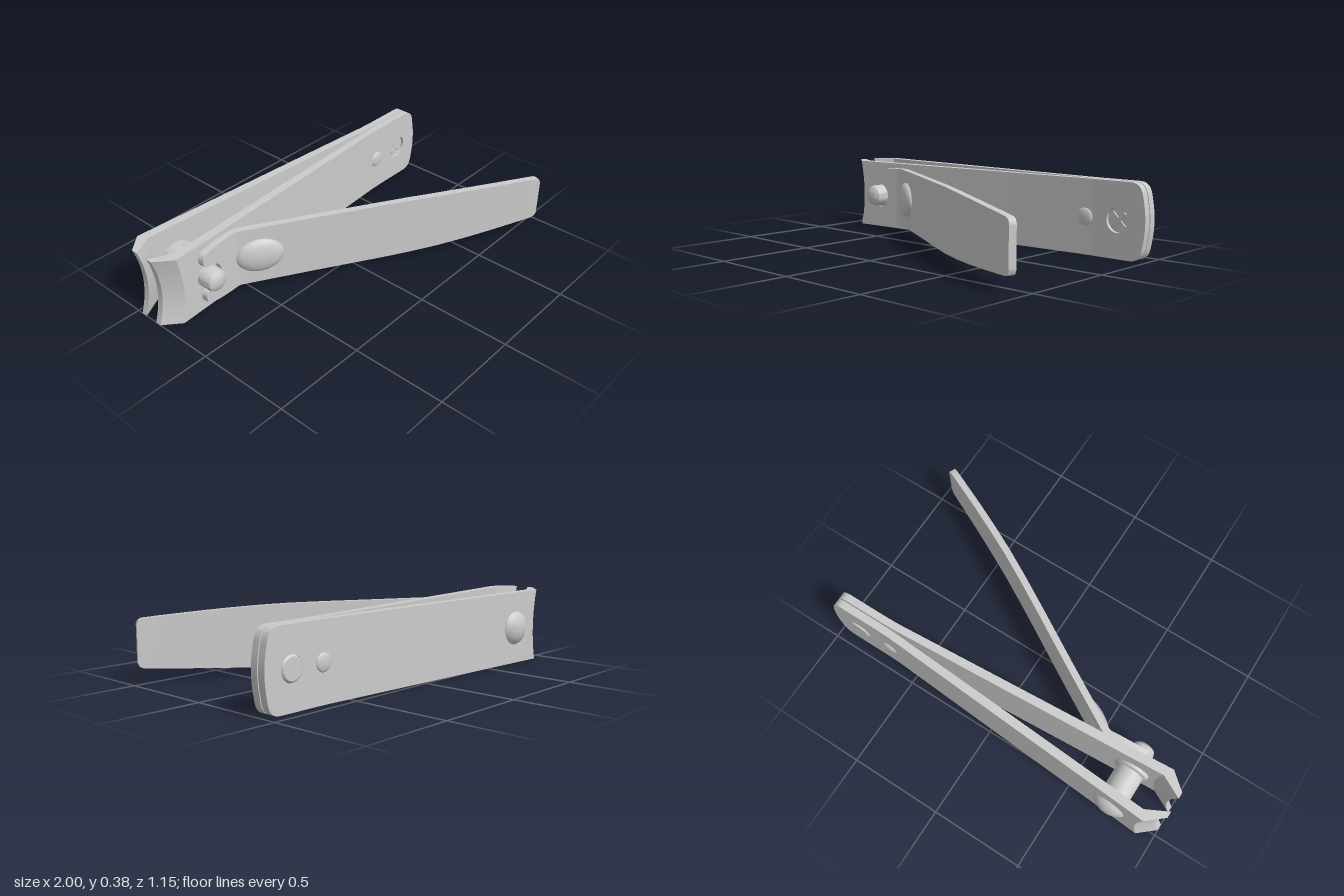
import * as THREE from 'three';
import { toCreasedNormals } from 'three/addons/utils/BufferGeometryUtils.js';

const material = new THREE.MeshStandardMaterial({ color: 0xcccccc });

function add(parent, name, geometry) {
  const mesh = new THREE.Mesh(geometry, material);
  mesh.name = name;
  parent.add(mesh);
  return mesh;
}

// Strip of metal lofted through stations { outer: [x, z], inner: [x, z], h, bow }.
// h is the half height, bow pushes the middle of the section along +x.
function strip(stations, n = 16) {
  const pos = [], index = [], ring = 2 * n + 2;
  for (const { outer, inner, h, bow = 0 } of stations) {
    for (let k = 0; k < ring; k++) {
      const front = k <= n;
      const v = ((front ? k : ring - 1 - k) / n) * 2 - 1;
      const [x, z] = front ? outer : inner;
      pos.push(x + bow * (1 - v * v), v * h, z);
    }
  }
  const quad = (a, b, c, d) => index.push(a, b, c, a, c, d);
  const last = (stations.length - 1) * ring;
  for (let i = 0; i < last; i += ring) {
    for (let k = 0; k < ring; k++) {
      const next = (k + 1) % ring;
      quad(i + k, i + ring + k, i + ring + next, i + next);
    }
  }
  for (let k = 0; k < n; k++) {
    const o = ring - 1 - k;
    quad(k, k + 1, o - 1, o);
    quad(last + o, last + o - 1, last + k + 1, last + k);
  }
  const g = new THREE.BufferGeometry();
  g.setAttribute('position', new THREE.Float32BufferAttribute(pos, 3));
  g.setIndex(index);
  return toCreasedNormals(g, 0.5);
}

// Turned part along z from [radius, z] points
function turned(points) {
  const g = new THREE.LatheGeometry(points.map(p => new THREE.Vector2(...p)), 40);
  return toCreasedNormals(g.rotateX(Math.PI / 2), 0.6);
}

function extrude(shape, depth) {
  const g = new THREE.ExtrudeGeometry(shape, { depth, bevelEnabled: false, curveSegments: 16 });
  return toCreasedNormals(g, 0.5);
}

const H = 0.1925;       // half height of the jaws
const RIVET_X = 0.845;

// One jaw: z = 0 is the plane where the two jaws meet
function jaw(name) {
  const g = new THREE.Group();
  g.name = name;
  add(g, 'jawBlade', strip([
    { outer: [-1, 0.07], inner: [-1, 0.036], h: H, bow: 0.036 },
    { outer: [-0.912, 0.145], inner: [-0.885, 0.095], h: H, bow: 0.024 },
    { outer: [-0.8, 0.137], inner: [-0.8, 0.09], h: H },
    { outer: [0.0, 0.085], inner: [0.0, 0.041], h: H },
    { outer: [0.62, 0.044], inner: [0.62, 0.005], h: H },
    { outer: [0.7, 0.042], inner: [0.7, 0.003], h: H },
  ]));

  // flat rounded tail with the rivet hole
  const s = new THREE.Shape();
  s.moveTo(0.7, -H);
  s.lineTo(0.91, -H);
  s.bezierCurveTo(0.965, -H, 0.98, -0.165, 0.988, -0.11);
  s.quadraticCurveTo(1.012, 0, 0.988, 0.11);
  s.bezierCurveTo(0.98, 0.165, 0.965, H, 0.91, H);
  s.lineTo(0.7, H);
  const hole = new THREE.Path();
  hole.absarc(RIVET_X, 0, 0.063, 0, Math.PI * 2, true);
  s.holes.push(hole);
  add(g, 'jawTail', extrude(s, 0.039)).position.z = 0.003;

  // small locating bump
  const bump = add(g, 'locatingBump', new THREE.SphereGeometry(0.045, 24, 16));
  bump.scale.z = 0.3;
  bump.position.set(0.655, 0, 0.042);
  return g;
}

function lever() {
  const g = new THREE.Group();
  g.name = 'lever';
  const T = 0.035;

  // arm: [x, z of the jaw side, half height]
  const path = [
    [-0.62, -0.276, 0.165], [-0.555, -0.28, 0.165], [-0.52, -0.268, 0.165],
    [-0.2, -0.081, 0.165], [0.1, 0.098, 0.165], [0.25, 0.186, 0.164],
    [0.4, 0.271, 0.159], [0.55, 0.35, 0.151], [0.7, 0.425, 0.141],
    [0.85, 0.497, 0.13], [0.92, 0.53, 0.124], [0.938, 0.538, 0.115], [0.946, 0.542, 0.098],
  ];
  add(g, 'leverArm', strip(path.map(([x, z, h], i) => {
    const a = path[Math.max(i - 1, 0)], b = path[Math.min(i + 1, path.length - 1)];
    const t = new THREE.Vector2(b[0] - a[0], b[1] - a[1]).normalize();
    return { outer: [x - t.y * T, z + t.x * T], inner: [x, z], h };
  })));

  // forked foot that hooks around the pin
  const s = new THREE.Shape();
  s.moveTo(0, -0.165);
  s.lineTo(0, 0.165);
  s.lineTo(-0.06, 0.162);
  s.lineTo(-0.125, 0.152);
  s.quadraticCurveTo(-0.16, 0.145, -0.16, 0.105);
  s.quadraticCurveTo(-0.16, 0.07, -0.115, 0.07);
  s.absarc(-0.115, 0, 0.07, Math.PI / 2, -Math.PI / 2, true);
  s.quadraticCurveTo(-0.16, -0.07, -0.16, -0.105);
  s.quadraticCurveTo(-0.16, -0.145, -0.125, -0.152);
  s.lineTo(-0.06, -0.162);
  const foot = add(g, 'leverFoot', extrude(s, T));
  foot.position.set(-0.62, 0, -0.276);
  foot.rotation.y = 0.066;

  // pressed bulge just past the bend
  const bulge = add(g, 'leverBulge', new THREE.SphereGeometry(1, 32, 20));
  bulge.scale.set(0.125, 0.097, 0.042);
  bulge.position.set(-0.45, 0, -0.19);
  bulge.rotation.y = -0.53;
  return g;
}

export function createModel() {
  const model = new THREE.Group();
  model.name = 'nailClipper';
  const body = new THREE.Group();
  body.name = 'body';
  body.position.y = H;
  model.add(body);

  const front = jaw('frontJaw'), back = jaw('backJaw');
  front.position.z = back.position.z = -0.4;
  back.rotation.x = Math.PI;
  body.add(front, back, lever());

  // pivot pin: domed head, collared shaft, rounded tip
  const pin = add(body, 'pivotPin', turned([
    [0, -0.572], [0.03, -0.569], [0.058, -0.56], [0.08, -0.546], [0.092, -0.53], [0.092, -0.515],
    [0.092, -0.472], [0.073, -0.466], [0.073, -0.334], [0.092, -0.328], [0.092, -0.29],
    [0.06, -0.285], [0.06, -0.205], [0.054, -0.187], [0.038, -0.175], [0.02, -0.17], [0, -0.169],
  ]));
  pin.position.x = -0.735;

  // tail rivet: raised at the back, recessed with a cross at the front
  const rivet = add(body, 'tailRivet', turned([
    [0, -0.45], [0.053, -0.45], [0.06, -0.445], [0.063, -0.438], [0.063, -0.376], [0, -0.376],
  ]));
  rivet.position.x = RIVET_X;
  for (const side of [-1, 1]) {
    const bar = add(body, 'rivetCross', new THREE.BoxGeometry(0.1, 0.016, 0.016));
    bar.position.set(RIVET_X, 0, -0.375);
    bar.rotation.z = side * Math.PI / 4;
  }
  return model;
}
